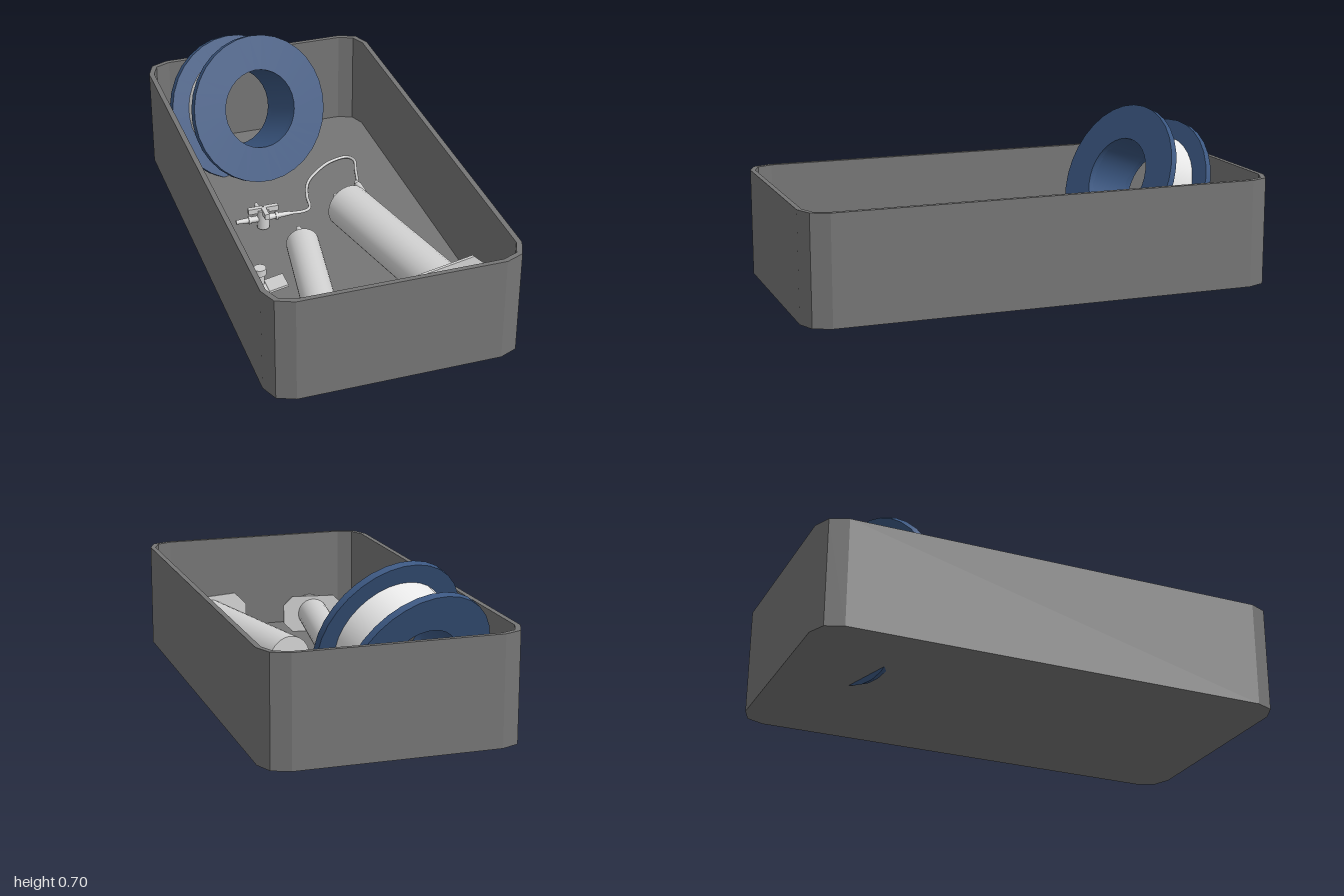
import * as THREE from 'three';
import { toCreasedNormals } from 'three/addons/utils/BufferGeometryUtils.js';

const mat = (name, color, side = THREE.FrontSide) => {
  const m = new THREE.MeshStandardMaterial({ color, side });
  m.name = name;
  return m;
};

export function createModel() {
  const trayGrey = mat('trayGrey', 0x767676);
  const blue = mat('spoolBlue', 0x3a5680);
  const white = mat('tapeWhite', 0xf0f0f0);
  const plastic = mat('clearPlastic', 0xd2d2d2);
  const steel = mat('needleSteel', 0x8a8a8a);
  const FLOOR = 0.045;

  const model = new THREE.Group();
  model.name = 'medicalTray';

  const add = (parent, name, geo, material, x = 0, y = 0, z = 0) => {
    const mesh = new THREE.Mesh(geo, material);
    mesh.name = name;
    mesh.position.set(x, y, z);
    parent.add(mesh);
    return mesh;
  };
  const group = (name, x, y, z, turn = 0) => {
    const g = new THREE.Group();
    g.name = name;
    g.position.set(x, y, z);
    g.rotation.y = turn;
    model.add(g);
    return g;
  };
  // Cylinder lying along z from z0 (radius r0) to z1 (radius r1)
  const rodZ = (parent, name, z0, z1, r0, r1 = r0, material = plastic, sides = 24) =>
    add(parent, name, new THREE.CylinderGeometry(r1, r0, z1 - z0, sides).rotateX(Math.PI / 2),
      material, 0, 0, (z0 + z1) / 2);

  // Tray: rectangle with two-facet rounded corners
  const outline = (hx, hz, r) => {
    const pts = [];
    [[1, 1], [-1, 1], [-1, -1], [1, -1]].forEach(([sx, sz], c) => {
      for (let i = 0; i <= 2; i++) {
        const a = c * Math.PI / 2 + i * Math.PI / 4;
        pts.push(new THREE.Vector2(sx * (hx - r) + r * Math.cos(a), sz * (hz - r) + r * Math.sin(a)));
      }
    });
    return pts;
  };
  const slab = (shape, depth) =>
    new THREE.ExtrudeGeometry(shape, { depth, bevelEnabled: false }).rotateX(-Math.PI / 2);
  const wall = new THREE.Shape(outline(0.525, 1, 0.105));
  wall.holes.push(new THREE.Path(outline(0.503, 0.98, 0.09)));
  add(model, 'trayWall', slab(wall, 0.453), trayGrey, 0, 0.022, 0);
  add(model, 'trayFloor', slab(new THREE.Shape(outline(0.515, 0.99, 0.1)), FLOOR - 0.022), trayGrey, 0, 0.022, 0);

  // Tape spool leaning back against the end of the tray
  const spool = group('tapeSpool', -0.128, 0.352, -0.67);
  const lean = 0.393, yaw = 0.27;
  spool.quaternion.setFromUnitVectors(new THREE.Vector3(0, 1, 0), new THREE.Vector3(
    Math.sin(yaw) * Math.cos(lean), Math.sin(lean), Math.cos(yaw) * Math.cos(lean)));
  const ring = (ri, ro, h) => toCreasedNormals(new THREE.LatheGeometry(
    [[ri, -h], [ro, -h], [ro, h], [ri, h], [ri, -h]].map(p => new THREE.Vector2(...p)), 32), 0.5);
  for (const s of [-1, 1]) {
    add(spool, s > 0 ? 'frontFlange' : 'backFlange', ring(0.175, 0.33, 0.015), blue, 0, s * 0.1085, 0);
  }
  add(spool, 'hub', ring(0.175, 0.19, 0.1), blue);
  add(spool, 'tapeRoll', ring(0.185, 0.25, 0.096), white);

  // Syringes, nozzle towards local -z
  const syringe = (name, x, z, turn, p) => {
    const g = group(name, x, FLOOR + p.plateH / 2, z, turn);
    rodZ(g, 'barrel', 0, p.length, p.r);
    rodZ(g, 'nozzle', -p.nozzle, 0, 0.011, 0.021, plastic, 16);
    const w = p.plateW / 2, h = p.plateH / 2, c = h * 0.5;
    const plate = new THREE.Shape([[w, -h + c], [w, h - c], [w - c, h], [-w + c, h],
      [-w, h - c], [-w, -h + c], [-w + c, -h], [w - c, -h]].map(q => new THREE.Vector2(...q)));
    add(g, 'fingerPlate', new THREE.ExtrudeGeometry(plate, { depth: 0.012, bevelEnabled: false }),
      plastic, 0, 0, p.length - 0.006);
    const mid = p.length + p.plunger / 2;
    add(g, 'plungerRibFlat', new THREE.BoxGeometry(p.rib, 0.012, p.plunger), plastic, 0, 0, mid);
    add(g, 'plungerRibUpright', new THREE.BoxGeometry(0.012, p.rib, p.plunger), plastic, 0, 0, mid);
    rodZ(g, 'thumbDisc', p.length + p.plunger - 0.006, p.length + p.plunger + 0.006, p.rib / 2 + 0.01);
  };
  syringe('largeSyringe', 0.135, -0.03, 0.234,
    { length: 0.735, r: 0.098, nozzle: 0.1, plateW: 0.38, plateH: 0.23, plunger: 0.145, rib: 0.135 });
  syringe('smallSyringe', -0.125, 0.142, -0.155,
    { length: 0.648, r: 0.07, nozzle: 0.112, plateW: 0.28, plateH: 0.17, plunger: 0.117, rib: 0.11 });

  // Winged cannula with injection port
  const cannula = group('cannula', -0.372, 0.09, 0);
  rodZ(cannula, 'needle', -0.14, 0.25, 0.005, 0.005, steel, 8);
  rodZ(cannula, 'needleHub', 0.24, 0.31, 0.019, 0.028);
  rodZ(cannula, 'cannulaBody', 0.31, 0.47, 0.028);
  rodZ(cannula, 'neck', 0.47, 0.49, 0.015);
  rodZ(cannula, 'endCap', 0.485, 0.565, 0.024);
  rodZ(cannula, 'capRim', 0.475, 0.488, 0.03);
  for (const s of [-1, 1]) {
    const wing = add(cannula, s > 0 ? 'leftWing' : 'rightWing',
      new THREE.BoxGeometry(0.09, 0.01, 0.085), plastic, s * 0.065, 0.008, 0.35);
    wing.rotation.z = s * 0.2;
  }
  add(cannula, 'injectionPort', new THREE.CylinderGeometry(0.018, 0.018, 0.07, 16), plastic, 0, 0.045, 0.35);
  add(cannula, 'portCap', new THREE.CylinderGeometry(0.026, 0.026, 0.03, 16), plastic, 0, 0.085, 0.35);

  // Three-way stopcock
  const tap = group('stopcock', -0.213, 0.095, -0.146);
  add(tap, 'valveHub', new THREE.CylinderGeometry(0.027, 0.027, 0.09, 16), plastic);
  const arm = (name, turn, len) => {
    const g = new THREE.Group();
    g.name = name;
    g.rotation.y = turn;
    tap.add(g);
    rodZ(g, 'armTube', 0, len, 0.016, 0.009, plastic, 12);
    rodZ(g, 'armCollar', len * 0.45, len * 0.55, 0.018, 0.018, plastic, 12);
  };
  arm('leftArm', Math.PI / 2, 0.122);
  arm('rightArm', -Math.PI / 2, 0.122);
  arm('backArm', Math.PI, 0.115);
  for (let i = 0; i < 3; i++) {
    const a = i * Math.PI / 2;
    const lever = add(tap, 'handleLever', new THREE.BoxGeometry(0.02, 0.025, 0.065), plastic,
      Math.cos(a) * 0.035, 0.045, Math.sin(a) * 0.035);
    lever.rotation.y = Math.PI / 2 - a;
  }

  // Extension line with end connector
  const path = new THREE.CatmullRomCurve3([
    [-0.095, 0.095, -0.146], [-0.02, 0.08, -0.165], [0.02, 0.065, -0.21], [0.04, 0.06, -0.31],
    [0.08, 0.06, -0.42], [0.16, 0.06, -0.51], [0.24, 0.06, -0.565], [0.32, 0.06, -0.58],
    [0.343, 0.06, -0.545], [0.32, 0.06, -0.45], [0.29, 0.06, -0.33],
  ].map(p => new THREE.Vector3(...p)));
  add(model, 'extensionLine', new THREE.TubeGeometry(path, 60, 0.007, 8), plastic);
  const end = group('lineConnector', 0.287, 0.063, 0);
  rodZ(end, 'connectorNeck', -0.35, -0.32, 0.01, 0.01, plastic, 12);
  rodZ(end, 'connectorSleeve', -0.325, -0.245, 0.016, 0.016, plastic, 12);

  return model;
}
